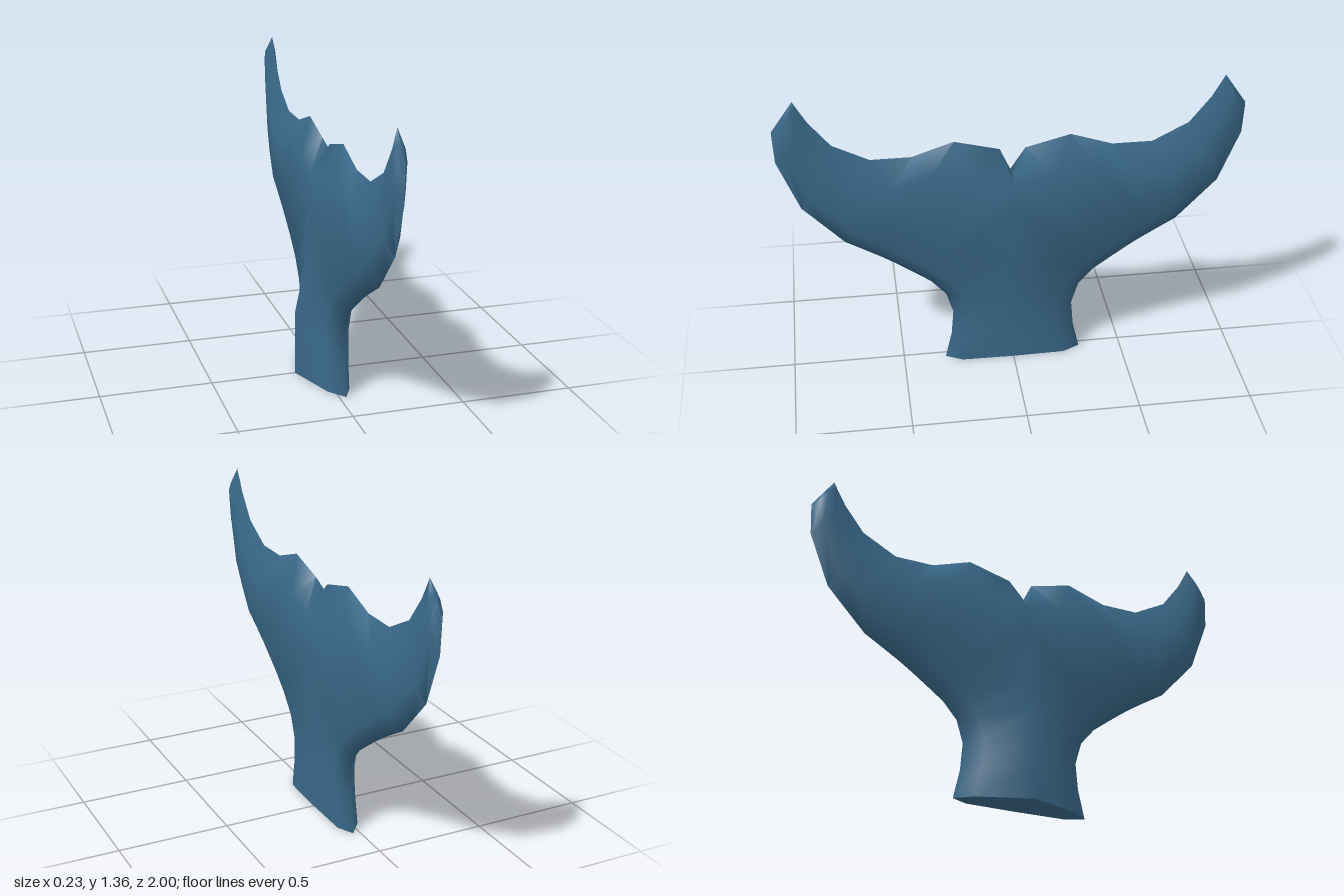
import * as THREE from 'three';
import { toCreasedNormals } from 'three/addons/utils/BufferGeometryUtils.js';

const RIM = 0.03; // x of the thin rim running round the whole tail

// Leading edge of one half, stem base to fluke tip: [z, y]
const LEAD = [
  [0.31, 0], [0.28, 0.13], [0.27, 0.25], [0.3, 0.35], [0.365, 0.425], [0.44, 0.48], [0.51, 0.53],
  [0.57, 0.57], [0.645, 0.615], [0.73, 0.665], [0.82, 0.76], [0.905, 0.85], [0.995, 1.08],
  [1, 1.2], [1, 1.225],
];
// Raised ridge up the middle to the notch: [y, xLeft, xRight]
const RIDGE = [
  [0, -0.115, 0.072], [0.15, -0.115, 0.069], [0.29, -0.115, 0.067], [0.4, -0.092, 0.077],
  [0.56, -0.062, 0.093], [0.82, -0.049, 0.115], [0.93, -0.045, 0.105],
];
// Trailing edge from beside the notch to the tip: [z, y]
const TRAIL = [
  [0.055, 1.075], [0.25, 1.125], [0.43, 1.065], [0.605, 1.065],
  [0.76, 1.145], [0.85, 1.26], [0.895, 1.34], [0.905, 1.36],
];

// x of the broad faces: thins towards the tip, swells towards the notch
function faceX(z, y, side) {
  const taper = Math.min(1, (1.12 - z) / 0.4);
  const swell = Math.max(0, 1 - z / 0.25);
  if (side < 0) return RIM - 0.06 * taper - 0.012 * swell;
  return RIM + (0.036 + 0.014 * THREE.MathUtils.smoothstep(y, 0.2, 0.5)) * taper + 0.03 * swell;
}

// Cross-section i on one face: leading rim, two raised points, trailing rim
function section(i, side, mirror) {
  const onRidge = i < RIDGE.length;
  const lead = new THREE.Vector3(RIM, LEAD[i][1], LEAD[i][0]);
  const [z, y] = onRidge ? [0, RIDGE[i][0]] : TRAIL[i - RIDGE.length];
  const trail = new THREE.Vector3(RIM, y, z);
  const length = lead.distanceTo(trail);
  const front = lead.clone().lerp(trail, Math.min(0.075 / length, 0.3));
  const back = trail.clone().lerp(lead, onRidge ? 0 : Math.min(0.17 / length, 0.4));
  if (i < LEAD.length - 1) {
    front.x = faceX(front.z, front.y, side);
    back.x = onRidge ? RIDGE[i][side < 0 ? 1 : 2] : faceX(back.z, back.y, side);
  }
  const points = [lead, front, back, trail];
  for (const p of points) p.z *= mirror;
  return points;
}

function buildSkin() {
  const positions = [];
  const tri = (a, b, c, flip) => {
    if (!a.z && !b.z && !c.z) return; // nothing inside the mid plane
    const area = b.clone().sub(a).cross(c.clone().sub(a)).length();
    if (area < 1e-7) return;
    for (const v of flip ? [a, c, b] : [a, b, c]) positions.push(v.x, v.y, v.z);
  };
  for (const side of [-1, 1]) for (const mirror of [-1, 1]) {
    const flip = side * mirror < 0;
    for (let i = 0; i < LEAD.length - 1; i++) {
      const lower = section(i, side, mirror);
      const upper = section(i + 1, side, mirror);
      for (let j = 0; j < 3; j++) {
        tri(lower[j], lower[j + 1], upper[j + 1], flip);
        tri(lower[j], upper[j + 1], upper[j], flip);
      }
    }
  }
  const geometry = new THREE.BufferGeometry();
  geometry.setAttribute('position', new THREE.Float32BufferAttribute(positions, 3));
  // rounded leading edge, sharp trailing edge
  return toCreasedNormals(geometry, 2.2);
}

// Flat underside closing the stem
function buildBase() {
  const half = (side, mirror) => section(0, side, mirror).slice(0, 3);
  const outline = [
    ...half(-1, 1), ...half(-1, -1).slice(0, 2).reverse(),
    ...half(1, -1).slice(1), half(1, 1)[1],
  ];
  const shape = new THREE.Shape(outline.map((p) => new THREE.Vector2(p.x, p.z)));
  return new THREE.ShapeGeometry(shape).rotateX(Math.PI / 2);
}

export function createModel() {
  const group = new THREE.Group();
  group.name = 'whaleTail';
  const skin = new THREE.MeshStandardMaterial({ color: 0x396888 });
  skin.name = 'oceanBlue';

  const flukes = new THREE.Mesh(buildSkin(), skin);
  flukes.name = 'stemAndFlukes';
  const base = new THREE.Mesh(buildBase(), skin);
  base.name = 'stemBase';
  group.add(flukes, base);
  return group;
}
